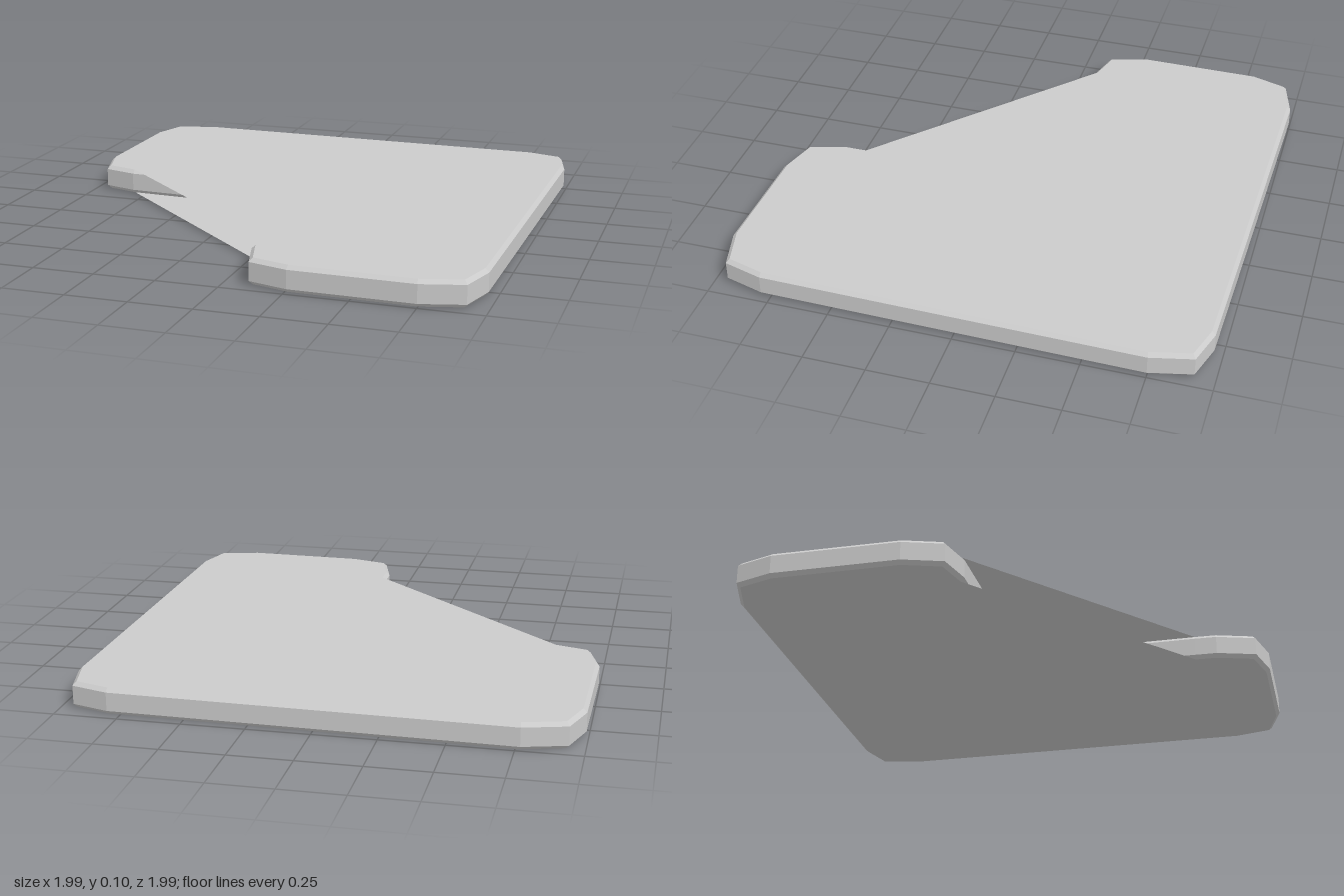
import * as THREE from 'three';

const HEIGHT = 0.104, BEVEL = 0.015;

// Outline of the slab as [x, z], running right, front, left, back.
const outline = [
  [0.99, -0.75], [0.965, 0.79], [0.92, 0.95], [0.75, 0.995], [0.26, 0.985], [0.1, 0.94],
  [0.055, 0.78], [0.055, 0.69], [0.065, 0.29], [-0.2, -0.06], [-0.81, -0.09],
  [-0.95, -0.13], [-0.997, -0.29], [-0.99, -0.8], [-0.94, -0.95], [-0.77, -0.997],
  [0.8, -0.965], [0.95, -0.92],
].map(([x, z]) => new THREE.Vector2(x, z));
const INNER = [8, 9]; // recessed corner, spanned by the two plates

// Moves the outline inwards by an even distance.
function inset(points, distance) {
  const n = points.length;
  const normal = (a, b) => new THREE.Vector2(b.y - a.y, a.x - b.x).normalize();
  return points.map((p, i) => {
    const n1 = normal(points[(i + n - 1) % n], p);
    const n2 = normal(p, points[(i + 1) % n]);
    const miter = n1.clone().add(n2).divideScalar(1 + n1.dot(n2));
    return p.clone().addScaledVector(miter, -distance);
  });
}

// Side wall with a narrow bevel above and below.
function rimGeometry(rings) {
  const n = outline.length, positions = [], index = [];
  rings.forEach(({ points, y }) => points.forEach(p => positions.push(p.x, y, p.y)));
  for (let r = 0; r < rings.length - 1; r++) {
    for (let i = 0; i < n; i++) {
      const a = r * n + i, b = r * n + (i + 1) % n;
      index.push(a, a + n, b + n, a, b + n, b);
    }
  }
  const geometry = new THREE.BufferGeometry();
  geometry.setAttribute('position', new THREE.Float32BufferAttribute(positions, 3));
  geometry.setIndex(index);
  const flat = geometry.toNonIndexed();
  flat.computeVertexNormals();
  return flat;
}

// Flat plate whose edge cuts straight across the recessed corner.
function plateGeometry(points, y) {
  const edge = points.filter((p, i) => !INNER.includes(i)).map(p => new THREE.Vector2(p.x, -p.y));
  return new THREE.ShapeGeometry(new THREE.Shape(edge)).rotateX(-Math.PI / 2).translate(0, y, 0);
}

export function createModel() {
  const group = new THREE.Group();
  group.name = 'slab';
  const material = new THREE.MeshStandardMaterial({
    color: 0xcccccc, flatShading: true, side: THREE.DoubleSide,
  });
  const add = (name, geometry) => {
    const mesh = new THREE.Mesh(geometry, material);
    mesh.name = name;
    group.add(mesh);
  };

  const small = inset(outline, BEVEL);
  add('rim', rimGeometry([
    { points: small, y: 0 },
    { points: outline, y: BEVEL },
    { points: outline, y: HEIGHT - BEVEL },
    { points: small, y: HEIGHT },
  ]));
  add('topPlate', plateGeometry(small, HEIGHT));
  add('bottomPlate', plateGeometry(small, 0));
  return group;
}
